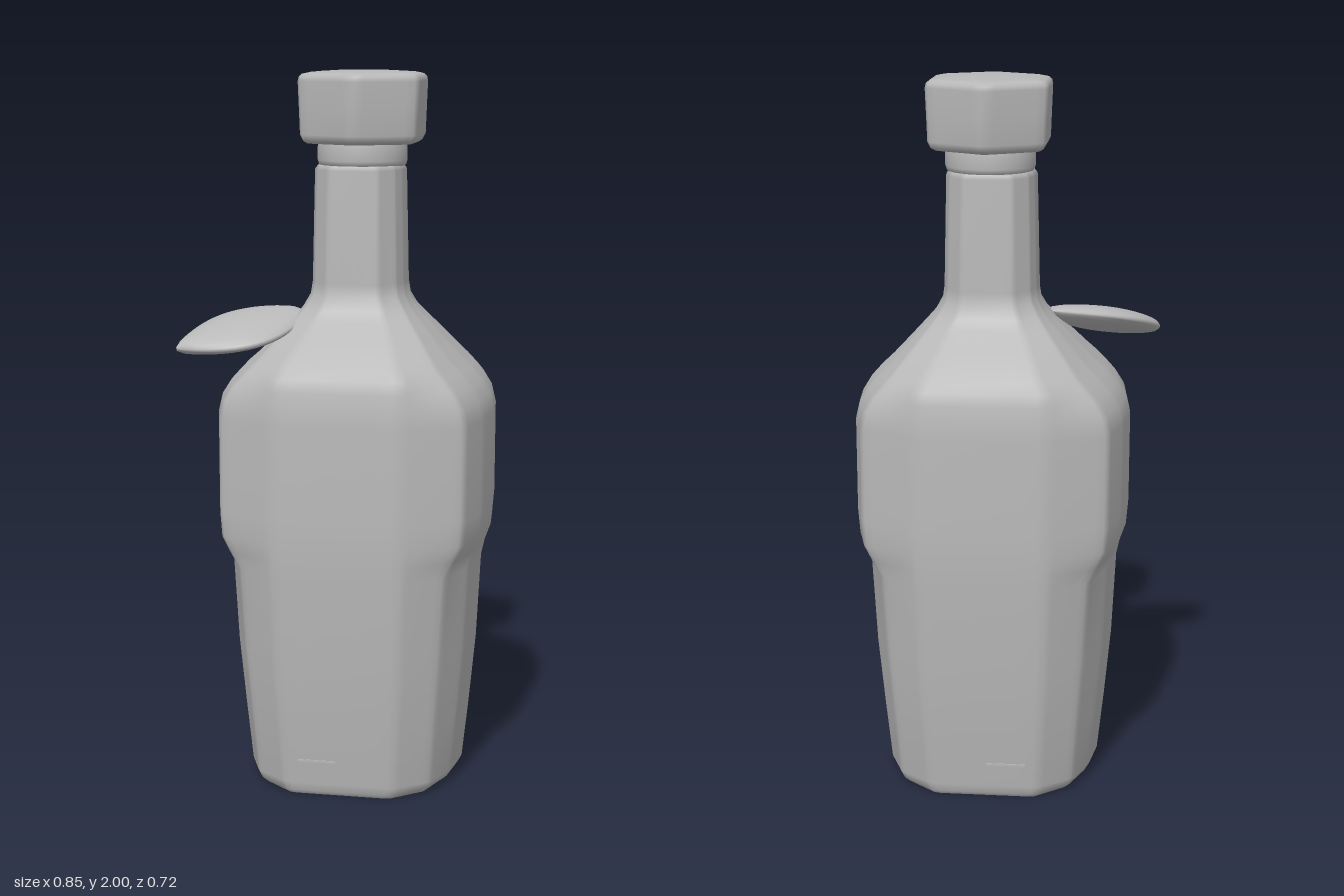
import * as THREE from 'three';

const V = (x, y, z) => new THREE.Vector3(x, y, z);

// Skin a stack of equal-length rings (each running from +x toward +z) and close both ends
function loft(rings) {
  const n = rings[0].length, pos = [], idx = [];
  const put = (p) => pos.push(p.x, p.y, p.z) / 3 - 1;
  rings.forEach((ring) => ring.forEach(put));
  for (let r = 0; r < rings.length - 1; r++) {
    for (let i = 0; i < n; i++) {
      const a = r * n + i, b = r * n + (i + 1) % n;
      idx.push(a, a + n, b, b, a + n, b + n);
    }
  }
  [[rings[0], false], [rings[rings.length - 1], true]].forEach(([ring, top]) => {
    const mid = ring.reduce((s, p) => s.add(p), V(0, 0, 0)).divideScalar(n);
    const c = put(mid), first = c + 1;
    ring.forEach(put);
    for (let i = 0; i < n; i++) {
      const a = first + i, b = first + (i + 1) % n;
      if (top) idx.push(c, b, a); else idx.push(c, a, b);
    }
  });
  const g = new THREE.BufferGeometry();
  g.setAttribute('position', new THREE.Float32BufferAttribute(pos, 3));
  g.setIndex(idx);
  g.computeVertexNormals();
  return g;
}

// Trim each corner of a polygon slightly so smooth normals round only the edges
function softCorners(points, t) {
  const out = [];
  points.forEach((p, i) => {
    const q = points[(i + 1) % points.length];
    [t, 0.15 + t * 0.7, 0.5, 0.85 - t * 0.7, 1 - t].forEach((k) => out.push(p.clone().lerp(q, k)));
  });
  return out;
}

// Flat front and back, chamfered corners, bulging sides
function bottleRing([y, b, c, w, d]) {
  const a = Math.min(0.17, 0.63 * b);
  const cx = 0.033 + 0.005 * THREE.MathUtils.smoothstep(y, 1.1, 1.35);
  const side = (s) => [-0.95, -0.5, 0, 0.5, 0.95].map((k) => V(cx + s * (b + (w - b) * (1 - k * k)), y, s * c * k));
  return softCorners([
    ...side(1), V(cx + a, y, d), V(cx - a, y, d),
    ...side(-1), V(cx - a, y, -d), V(cx + a, y, -d),
  ], 0.05);
}

export function createModel() {
  const model = new THREE.Group();
  const grey = new THREE.MeshStandardMaterial({ color: 0xb8b8b8 });
  grey.name = 'grey';
  const add = (name, geometry) => {
    const mesh = new THREE.Mesh(geometry, grey);
    mesh.name = name;
    model.add(mesh);
    return mesh;
  };

  // Body, shoulders and neck: y, corner x, corner z, side x, depth
  add('bottle', loft([
    [0, 0.22, 0.23, 0.275, 0.293],
    [0.012, 0.23, 0.24, 0.292, 0.302],
    [0.035, 0.24, 0.245, 0.305, 0.306],
    [0.2, 0.25, 0.262, 0.323, 0.325],
    [0.4, 0.265, 0.28, 0.342, 0.345],
    [0.64, 0.279, 0.292, 0.354, 0.358],
    [0.685, 0.305, 0.295, 0.364, 0.36],
    [0.73, 0.328, 0.297, 0.38, 0.361],
    [0.8, 0.333, 0.297, 0.386, 0.362],
    [1.06, 0.333, 0.294, 0.387, 0.356],
    [1.11, 0.323, 0.29, 0.375, 0.351],
    [1.15, 0.3, 0.282, 0.35, 0.345],
    [1.185, 0.27, 0.267, 0.318, 0.337],
    [1.21, 0.247, 0.25, 0.29, 0.318],
    [1.27, 0.2, 0.195, 0.232, 0.25],
    [1.32, 0.16, 0.145, 0.185, 0.186],
    [1.35, 0.138, 0.117, 0.158, 0.157],
    [1.385, 0.118, 0.1, 0.139, 0.141],
    [1.42, 0.113, 0.093, 0.134, 0.137],
    [1.73, 0.107, 0.089, 0.127, 0.132],
    [1.742, 0.1, 0.082, 0.118, 0.123],
  ].map(bottleRing)));

  // Round collar between neck and cap
  const collar = [[0.11, 1.735], [0.121, 1.742], [0.125, 1.755], [0.125, 1.79], [0.12, 1.81]];
  add('collar', new THREE.LatheGeometry(collar.map((p) => new THREE.Vector2(...p)), 48)).position.x = 0.042;

  // Six-sided cap with softened edges and a slightly domed top
  const capRing = ([y, r]) => softCorners(Array.from({ length: 6 }, (_, i) => {
    const t = Math.PI / 6 + i * Math.PI / 3;
    return V(0.044 + r * 1.035 * Math.cos(t), y, r * Math.sin(t));
  }), 0.05);
  add('cap', loft([
    [1.8, 0.115], [1.801, 0.16], [1.808, 0.172], [1.825, 0.181], [1.9, 0.184], [1.97, 0.187],
    [1.982, 0.184], [1.99, 0.175], [1.995, 0.15], [1.999, 0.08], [2, 0.02],
  ].map(capRing)));

  // Leaf: lens-shaped sections swept along a sloping axis
  const base = V(-0.115, 1.332, 0.06), tip = V(-0.425, 1.25, 0.272);
  const axis = tip.clone().sub(base).normalize();
  const across = V(0.56, -0.2, 0.83);
  const up = across.clone().cross(axis).normalize();
  const leafRings = [];
  for (let j = 0; j <= 20; j++) {
    const u = j / 20, swell = Math.max(Math.sin(Math.PI * u), 0);
    const half = 0.116 * swell ** 0.85 + 0.024 * (1 - u) ** 2 + 0.004;
    const thick = 0.03 * Math.sqrt(swell) + 0.006;
    leafRings.push(Array.from({ length: 24 }, (_, i) => {
      const t = i / 24 * Math.PI * 2, s = Math.sin(t);
      return base.clone().lerp(tip, u)
        .addScaledVector(across, half * Math.cos(t))
        .addScaledVector(up, thick * s * Math.abs(s) ** 0.3);
    }));
  }
  add('leaf', loft(leafRings));

  // Fine raised line near the foot of the front and back panels
  [1, -1].forEach((s) => {
    const line = add(s > 0 ? 'frontLine' : 'backLine', new THREE.BoxGeometry(0.11, 0.006, 0.006));
    line.position.set(-0.03, 0.105, s * 0.314);
  });

  return model;
}
